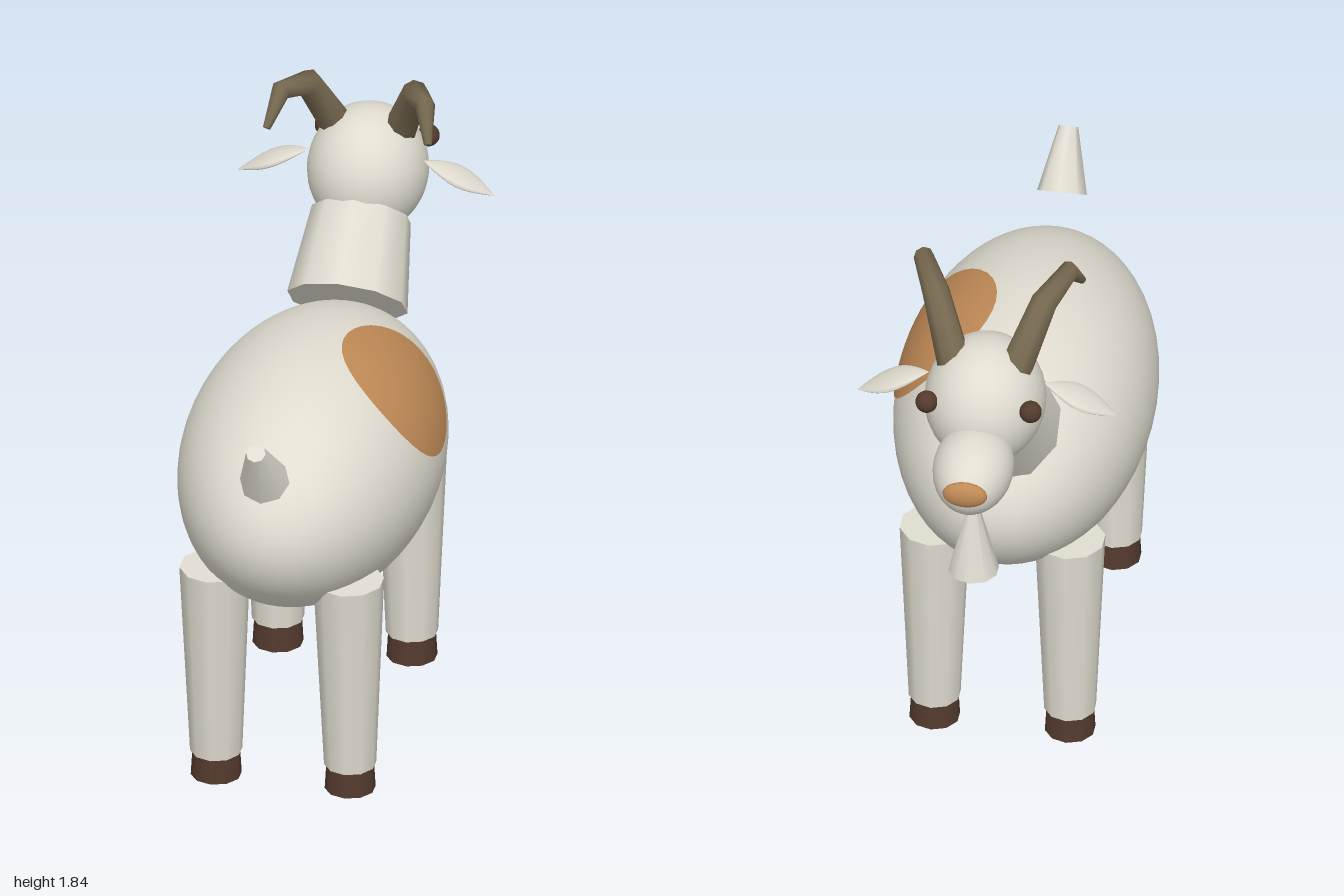
import * as THREE from 'three';

const mat = (name, color) => {
  const m = new THREE.MeshStandardMaterial({ color });
  m.name = name;
  return m;
};

export function createModel() {
  const goat = new THREE.Group();
  goat.name = 'goat';
  const coat = mat('coat white', 0xe0dcd0);
  const tan = mat('tan', 0xc08a56);
  const horn = mat('horn brown', 0x75674f);
  const dark = mat('dark brown', 0x543a2e);

  const add = (name, geometry, material) => {
    const mesh = new THREE.Mesh(geometry, material);
    mesh.name = name;
    goat.add(mesh);
    return mesh;
  };
  const ellipsoid = (name, [x, y, z], [rx, ry, rz], material, seg = 32) => {
    const geo = new THREE.SphereGeometry(1, seg, Math.round(seg * 0.7));
    geo.scale(rx, ry, rz);
    add(name, geo, material).position.set(x, y, z);
  };
  // Tapered cylinder between two points
  const taper = (name, from, to, r0, r1, material, sides = 10) => {
    const a = new THREE.Vector3(...from), b = new THREE.Vector3(...to);
    const dir = b.clone().sub(a);
    const mesh = add(name, new THREE.CylinderGeometry(r1, r0, dir.length(), sides), material);
    mesh.position.copy(a).add(b).multiplyScalar(0.5);
    mesh.quaternion.setFromUnitVectors(new THREE.Vector3(0, 1, 0), dir.normalize());
  };
  // Surface through equal-sized closed rings of points
  const loft = (rings) => {
    const n = rings[0].length, pos = rings.flat(2), index = [];
    for (let i = 0; i < rings.length - 1; i++) {
      for (let j = 0; j < n; j++) {
        const a = i * n + j, b = i * n + (j + 1) % n;
        index.push(a, b, a + n, b, b + n, a + n);
      }
    }
    const geo = new THREE.BufferGeometry();
    geo.setAttribute('position', new THREE.Float32BufferAttribute(pos, 3));
    geo.setIndex(index);
    geo.computeVertexNormals();
    return geo;
  };
  // Mirrored copy across x with the corner order restored
  const mirrored = (geometry) => {
    const geo = geometry.clone().scale(-1, 1, 1);
    const id = geo.index.array;
    for (let i = 0; i < id.length; i += 3) [id[i], id[i + 1]] = [id[i + 1], id[i]];
    geo.computeVertexNormals();
    return geo;
  };

  // Body, neck and head
  const bodyC = [0, 0.895, 0.18], bodyR = [0.39, 0.385, 0.675];
  ellipsoid('body', bodyC, bodyR, coat, 56);
  taper('neck', [0, 1.16, -0.3], [0, 1.358, -0.495], 0.185, 0.152, coat);
  ellipsoid('head', [0, 1.47, -0.588], [0.183, 0.2, 0.203], coat);
  ellipsoid('snout', [0, 1.374, -0.812], [0.121, 0.121, 0.175], coat);
  ellipsoid('nose', [0, 1.393, -0.974], [0.068, 0.043, 0.026], tan, 20);
  taper('beard', [0, 0.99, -0.81], [0, 1.29, -0.81], 0.077, 0.001, coat);
  taper('tail', [0, 1.152, 0.852], [0, 1.31, 0.975], 0.076, 0.03, coat, 8);

  // Coat patch wrapped on the left flank
  const patch = new THREE.RingGeometry(0.001, 1, 36, 10);
  const p = patch.attributes.position;
  for (let i = 0; i < p.count; i++) {
    const phi = THREE.MathUtils.degToRad(42 + 35.5 * p.getY(i));
    const z = 0.138 - 0.247 * p.getX(i);
    const s = Math.sqrt(1 - ((z - bodyC[2]) / bodyR[2]) ** 2);
    p.setXYZ(i, (bodyR[0] * s + 0.004) * Math.cos(phi),
      bodyC[1] + (bodyR[1] * s + 0.004) * Math.sin(phi), z);
  }
  patch.computeVertexNormals();
  add('coatPatch', patch, tan);

  // Horn: bent taper, swept back and outward
  const path = [[0.095, 1.6, -0.595], [0.165, 1.785, -0.5], [0.222, 1.815, -0.375], [0.248, 1.725, -0.298]]
    .map((q) => new THREE.Vector3(...q));
  const radii = [0.052, 0.042, 0.031, 0.012];
  const side = new THREE.Vector3(0.9, 0, -0.42);
  const rings = path.map((q, i) => {
    const t = path[Math.min(i + 1, 3)].clone().sub(path[Math.max(i - 1, 0)]).normalize();
    const u = side.clone().addScaledVector(t, -side.dot(t)).normalize();
    const v = t.clone().cross(u);
    return Array.from({ length: 8 }, (_, j) => {
      const a = j * Math.PI / 4;
      return q.clone().addScaledVector(u, radii[i] * Math.cos(a))
        .addScaledVector(v, radii[i] * Math.sin(a)).toArray();
    });
  });
  rings.push(rings[3].map(() => path[3].toArray()));
  const hornGeo = loft(rings);
  add('leftHorn', hornGeo, horn);
  add('rightHorn', mirrored(hornGeo), horn);

  // Ear: thin drooping leaf with a pointed tip
  const earRings = Array.from({ length: 11 }, (_, i) => {
    const t = i / 10, w = Math.sin(Math.PI * t);
    const x = 0.175 + 0.22 * t, y = 1.525 - 0.07 * t - 0.025 * t * t;
    return Array.from({ length: 12 }, (_, j) => {
      const a = j * Math.PI / 6;
      return [x, y + 0.016 * w * Math.sin(a), -0.562 - 0.062 * w * Math.cos(a)];
    });
  });
  const earGeo = loft(earRings);
  add('leftEar', earGeo, coat);
  add('rightEar', mirrored(earGeo), coat);

  // Eyes, legs and hooves
  for (const [label, s] of [['left', 1], ['right', -1]]) {
    ellipsoid(label + 'Eye', [s * 0.158, 1.53, -0.715], [0.034, 0.034, 0.034], dark, 16);
    for (const [end, top, foot] of [['Front', -0.265, -0.267], ['Back', 0.615, 0.595]]) {
      const x = s * 0.206;
      taper(label + end + 'Leg', [x, 0.083, foot], [x, 0.717, top], 0.079, 0.107, coat);
      taper(label + end + 'Hoof', [x, 0, foot], [x, 0.085, foot], 0.077, 0.072, dark);
    }
  }
  return goat;
}
